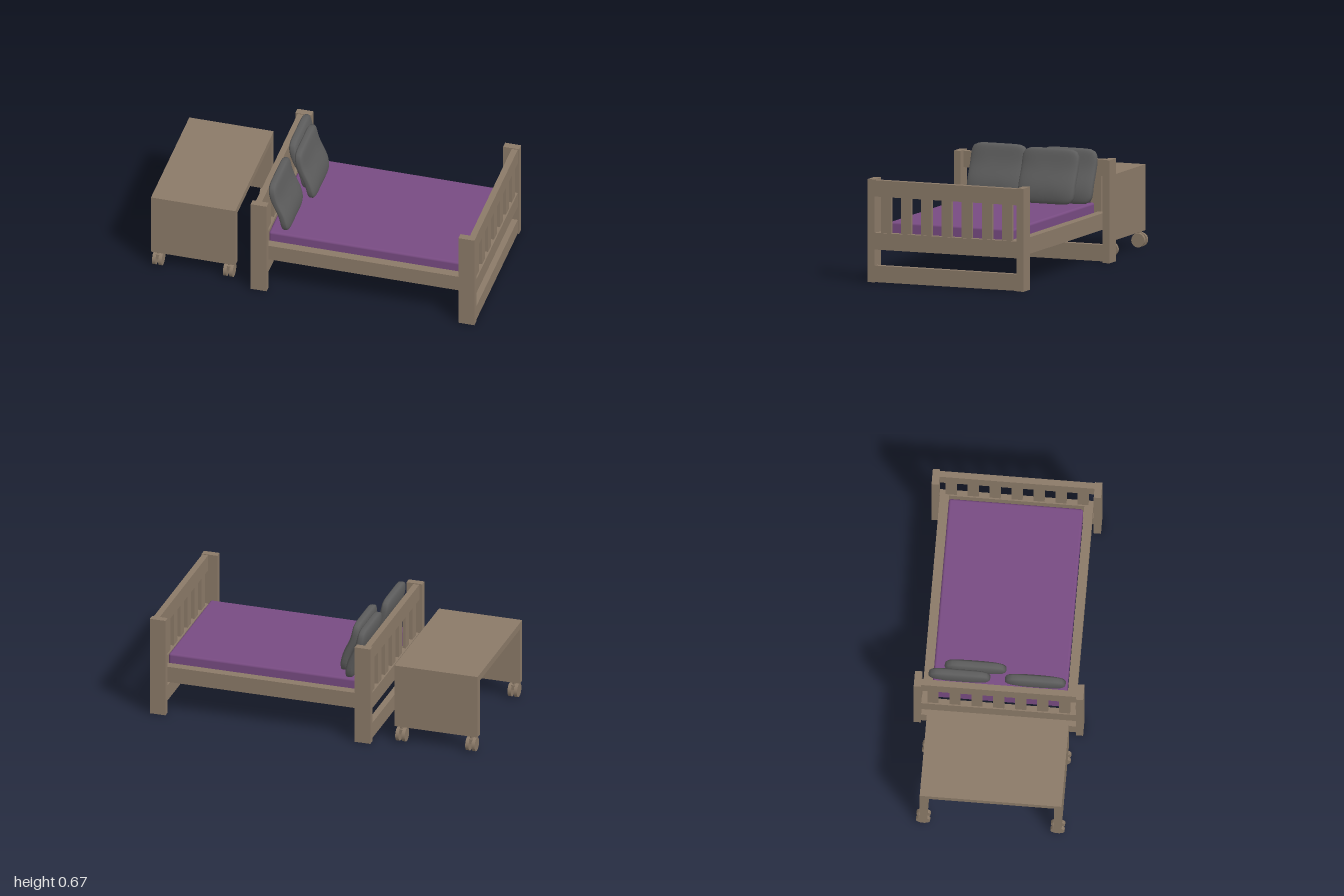
import * as THREE from 'three';
import { RoundedBoxGeometry } from 'three/addons/geometries/RoundedBoxGeometry.js';

const wood = new THREE.MeshStandardMaterial({ color: 0x8b7a68 });
const purple = new THREE.MeshStandardMaterial({ color: 0x784b82 });
const grey = new THREE.MeshStandardMaterial({ color: 0x5c5c5c });

function add(parent, name, geometry, material) {
  const mesh = new THREE.Mesh(geometry, material);
  mesh.name = name;
  parent.add(mesh);
  return mesh;
}

// Box given by its limits on each axis
function box(parent, name, x0, x1, y0, y1, z0, z1, material = wood) {
  const mesh = add(parent, name, new THREE.BoxGeometry(x1 - x0, y1 - y0, z1 - z0), material);
  mesh.position.set((x0 + x1) / 2, (y0 + y1) / 2, (z0 + z1) / 2);
  return mesh;
}

// Head or foot end: two posts, three rails and seven slats
function bedEnd(name, postX, railX) {
  const end = new THREE.Group();
  end.name = name;
  box(end, 'frontPost', postX, postX + 0.097, 0, 0.612, 0.457, 0.5);
  box(end, 'backPost', postX + 0.005, postX + 0.102, 0, 0.612, -0.5, -0.457);
  const rails = [['bottomRail', 0.002, 0.1], ['middleRail', 0.195, 0.295], ['topRail', 0.51, 0.607]];
  for (const [label, y0, y1] of rails) box(end, label, railX, railX + 0.037, y0, y1, -0.457, 0.457);
  for (let i = -3; i <= 3; i++) {
    const z = i * 0.1295;
    box(end, 'slat', railX + 0.008, railX + 0.029, 0.295, 0.51, z - 0.0325, z + 0.0325);
  }
  return end;
}

// Cushion: a box pinched at its edges and bent along an S-shaped lean
function pillow(x, z, width) {
  const geometry = new THREE.SphereGeometry(1, 48, 32);
  geometry.rotateZ(Math.PI / 2);
  const p = geometry.attributes.position;
  const square = (a, k) => Math.sign(a) * Math.pow(Math.abs(a), k);
  for (let i = 0; i < p.count; i++) {
    const side = p.getX(i);
    const flat = Math.hypot(p.getY(i), p.getZ(i)) || 1;
    const cy = p.getY(i) / flat, cz = p.getZ(i) / flat;
    // Rounded-square outline, flattened faces
    const r = Math.pow(Math.min(1, flat), 0.8);
    const k = r / Math.pow(Math.pow(Math.abs(cy), 7) + Math.pow(Math.abs(cz), 7), 1 / 7);
    const v = cy * k, u = cz * k;
    const thick = 0.036 * square(side, 0.55);
    p.setXYZ(i, x - 0.043 * Math.tanh(1.8 * v) + thick, 0.512 + 0.16 * v, z + u * width / 2);
  }
  geometry.computeVertexNormals();
  return geometry;
}

// Twin-wheel caster with its axle along x
function caster(x, z) {
  const group = new THREE.Group();
  group.name = 'caster';
  for (const s of [-1, 1]) {
    const wheel = add(group, 'wheel', new THREE.CylinderGeometry(0.042, 0.042, 0.021, 24), wood);
    wheel.rotation.z = Math.PI / 2;
    wheel.position.set(s * 0.019, 0.042, 0);
  }
  box(group, 'casterBody', -0.012, 0.012, 0.05, 0.08, -0.025, 0.025);
  const stem = add(group, 'stem', new THREE.CylinderGeometry(0.012, 0.012, 0.05, 16), wood);
  stem.position.y = 0.073;
  group.position.set(x, 0, z);
  return group;
}

export function createModel() {
  const model = new THREE.Group();
  model.name = 'bedWithRollingTable';

  // Bed frame
  const bed = new THREE.Group();
  bed.name = 'bed';
  bed.add(bedEnd('headboard', -0.37, -0.352), bedEnd('footboard', 0.898, 0.955));
  box(bed, 'frontSideRail', -0.315, 0.955, 0.197, 0.295, 0.397, 0.45);
  box(bed, 'backSideRail', -0.315, 0.955, 0.197, 0.295, -0.455, -0.4);

  // Mattress with shallow bands on its underside
  const mattress = add(bed, 'mattress', new RoundedBoxGeometry(1.207, 0.112, 0.792, 3, 0.014), purple);
  mattress.position.set(0.314, 0.298, -0.002);
  for (let i = 0; i < 5; i++) {
    const x = -0.15 + i * 0.23;
    box(bed, 'undersideBand', x - 0.04, x + 0.04, 0.238, 0.245, -0.36, 0.36, purple);
  }

  // Pillows leaning on the headboard
  for (const [x, z, width] of [[-0.238, -0.24, 0.36], [-0.178, -0.15, 0.36], [-0.238, 0.207, 0.355]])
    add(bed, 'pillow', pillow(x, z, width), grey);
  model.add(bed);

  // Rolling table
  const table = new THREE.Group();
  table.name = 'rollingTable';
  box(table, 'tableTop', -1, -0.485, 0.445, 0.487, -0.412, 0.425);
  box(table, 'frontPanel', -1, -0.485, 0.095, 0.445, 0.38, 0.425);
  box(table, 'backPanel', -1, -0.485, 0.095, 0.445, -0.412, -0.367);
  for (const x of [-0.96, -0.527])
    for (const z of [-0.393, 0.4]) table.add(caster(x, z));
  model.add(table);

  return model;
}
